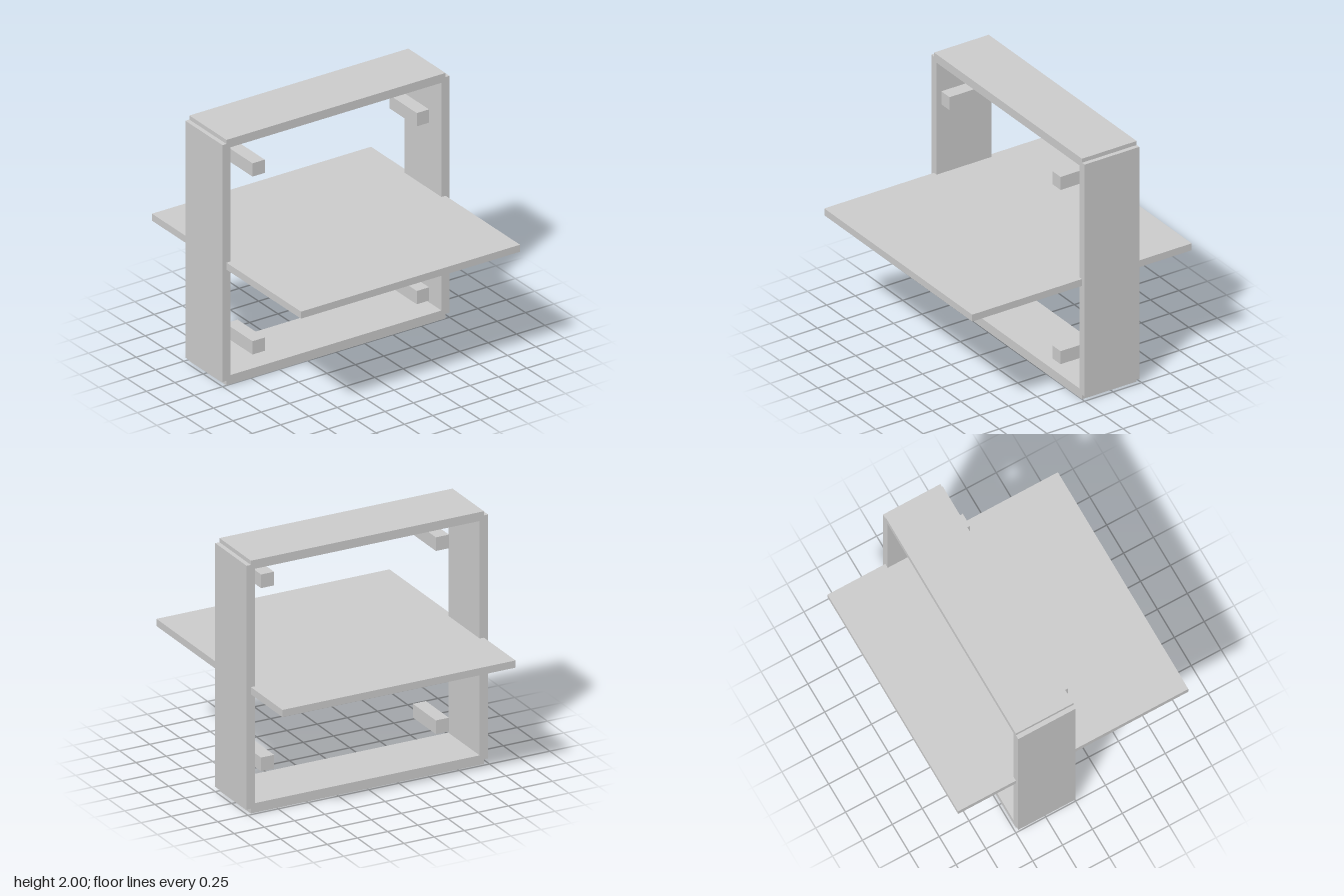
import * as THREE from 'three';

export function createModel() {
  const group = new THREE.Group();
  const material = new THREE.MeshStandardMaterial({ color: 0xcccccc, flatShading: true });

  // Box given by its minimum and maximum corners
  function addBox(name, [x0, y0, z0], [x1, y1, z1]) {
    const mesh = new THREE.Mesh(new THREE.BoxGeometry(x1 - x0, y1 - y0, z1 - z0), material);
    mesh.position.set((x0 + x1) / 2, (y0 + y1) / 2, (z0 + z1) / 2);
    mesh.name = name;
    group.add(mesh);
  }

  const back = -0.48;   // frame runs from z = back to z = 0
  const lap = 0.965;    // boards overlap at the corners, leaving small notches

  // Square frame: top and bottom boards, then the two side boards
  addBox('topBoard', [-lap, 1.93, back], [lap, 2, 0]);
  addBox('bottomBoard', [-lap, 0, back], [lap, 0.075, 0]);
  addBox('leftBoard', [0.93, 0.038, back], [1, 1.967, 0]);
  addBox('rightBoard', [-1, 0.038, back], [-0.93, 1.967, 0]);

  // Horizontal panel passing through the frame
  addBox('panel', [-lap, 0.943, -0.963], [lap, 1, 0.963]);

  // Four square pegs near the corners
  const half = 0.054;
  for (const [side, x] of [['left', 0.724], ['right', -0.724]]) {
    for (const [level, y] of [['Upper', 1.728], ['Lower', 0.279]]) {
      addBox(`${side}${level}Peg`, [x - half, y - half, -0.29], [x + half, y + half, 0.062]);
    }
  }

  return group;
}
